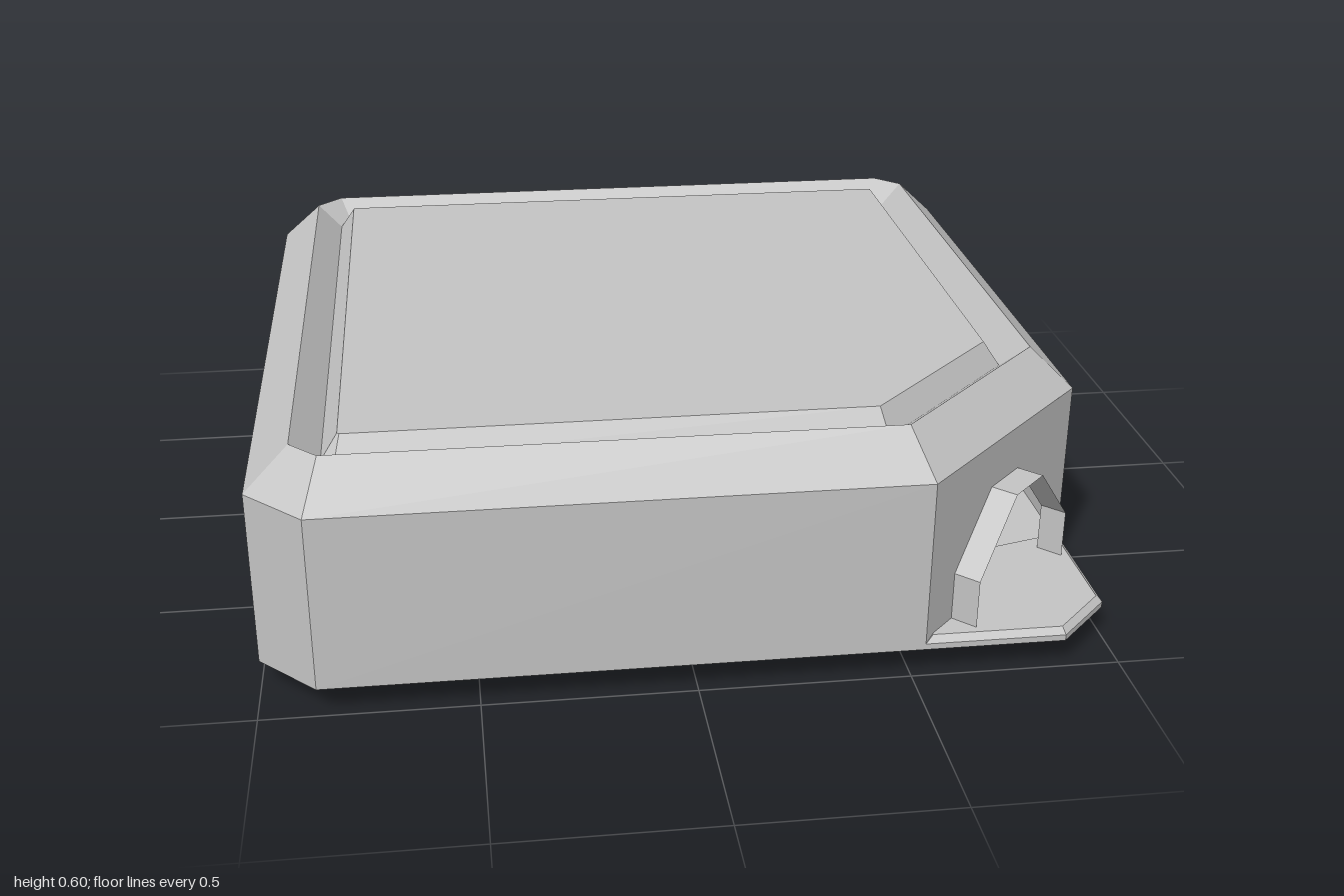
import * as THREE from 'three';

const grey = new THREE.MeshStandardMaterial({ color: 0xc4c4c4, side: THREE.DoubleSide, flatShading: true });
grey.name = 'plain grey';

// Square outline of half width e; small corners are cut at c, the front left corner at d
const ring = (e, c, d) => [[-e, c], [-c, e], [d, e], [e, d], [e, -c], [c, -e], [-c, -e], [-e, -c]];

// Joins stacked outlines with flat faces; skip leaves one side of every band open
function loft(levels, { capTop = false, capBottom = false, skip = -1 } = {}) {
  const pos = [];
  const pt = (l, i) => [l[0][i][0], l[1], l[0][i][1]];
  const n = levels[0][0].length;
  for (let k = 0; k < levels.length - 1; k++) {
    const lo = levels[k], up = levels[k + 1];
    for (let i = 0; i < n; i++) {
      if (i === skip) continue;
      const j = (i + 1) % n;
      pos.push(...pt(lo, i), ...pt(lo, j), ...pt(up, j), ...pt(lo, i), ...pt(up, j), ...pt(up, i));
    }
  }
  const first = levels[0], last = levels[levels.length - 1];
  for (let i = 1; i < n - 1; i++) {
    if (capTop) pos.push(...pt(last, 0), ...pt(last, i), ...pt(last, i + 1));
    if (capBottom) pos.push(...pt(first, 0), ...pt(first, i + 1), ...pt(first, i));
  }
  const g = new THREE.BufferGeometry();
  g.setAttribute('position', new THREE.Float32BufferAttribute(pos, 3));
  g.computeVertexNormals();
  return g;
}

function add(parent, name, geometry) {
  const mesh = new THREE.Mesh(geometry, grey);
  mesh.name = name;
  parent.add(mesh);
  return mesh;
}

export function createModel() {
  const model = new THREE.Group();
  model.name = 'building';

  // Hollow base with the shallow tapered foot under it
  add(model, 'base', loft([
    [ring(0.45, 0.45, 0.45), 0],
    [ring(0.61, 0.61, 0.61), 0.07],
    [ring(1, 0.865, 0.865), 0.07],
  ], { capBottom: true }));

  // Outer walls, open at the entrance corner
  const outline = ring(1, 0.865, 0.53);
  add(model, 'walls', loft([[outline, 0.07], [outline, 0.5]], { skip: 2 }));

  // Sloped rim, V-shaped groove and flat roof panel
  add(model, 'roof', loft([
    [outline, 0.5],
    [ring(0.895, 0.83, 0.49), 0.6],
    [ring(0.83, 0.8, 0.46), 0.54],
    [ring(0.79, 0.785, 0.445), 0.6],
  ], { capTop: true }));

  // Entrance step with bevelled edge
  const step = [[0.53, 1], [0.865, 1], [1, 0.865], [1, 0.53], [0.63, 0.63]];
  const stepTop = [[0.55, 0.985], [0.86, 0.985], [0.985, 0.86], [0.985, 0.55], [0.64, 0.64]];
  add(model, 'entranceStep', loft([[step, 0.07], [step, 0.085], [stepTop, 0.1]], { capTop: true }));

  // Diagonal entrance corner: wall with an arched doorway and a thin hood
  const entrance = new THREE.Group();
  entrance.name = 'entrance';
  entrance.rotation.y = Math.PI / 4;
  entrance.position.set(0.765, 0, 0.765);
  model.add(entrance);

  const arch = [[-0.217, 0.07], [-0.217, 0.22], [-0.064, 0.385], [0.064, 0.385], [0.217, 0.22], [0.217, 0.07]];
  const half = 0.47 / Math.SQRT2;
  const wall = new THREE.Shape(
    [[-half, 0.5], [-half, 0.07], ...arch, [half, 0.07], [half, 0.5]].map(p => new THREE.Vector2(...p)));
  add(entrance, 'entranceWall', new THREE.ShapeGeometry(wall));

  // Hood: the doorway outline pulled outward
  const depth = 0.067, pos = [];
  for (let i = 0; i < arch.length - 1; i++) {
    const [a, b] = [arch[i], arch[i + 1]];
    pos.push(...a, 0, ...a, depth, ...b, depth, ...a, 0, ...b, depth, ...b, 0);
  }
  const hood = new THREE.BufferGeometry();
  hood.setAttribute('position', new THREE.Float32BufferAttribute(pos, 3));
  hood.computeVertexNormals();
  add(entrance, 'entranceHood', hood);

  return model;
}
